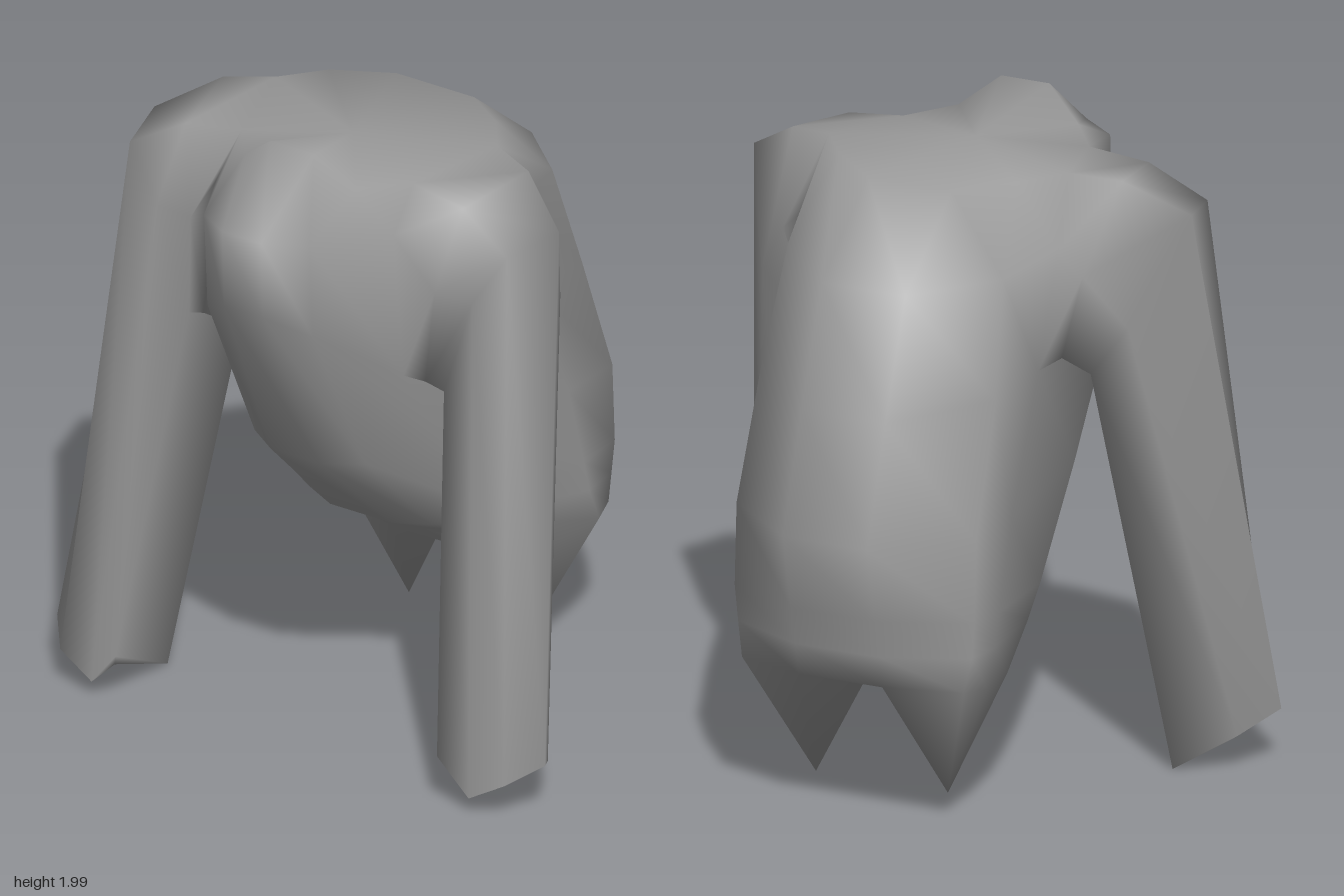
import * as THREE from 'three';

const N = 12; // points in one torso ring

// Torso ring leaning from a front point to a back point; half-widths and drops run front to back
function torsoRing([zf, yf], [zb, yb], widths, drops = [0, 0, 0, 0, 0, 0]) {
  const depth = [0, 0.06, 0.25, 0.66, 0.84, 1];
  const half = widths.map((w, i) => [w, yf + (yb - yf) * depth[i] - drops[i], zf + (zb - zf) * depth[i]]);
  return [...half, ...half.map(([x, y, z]) => [-x, y, z]).reverse()];
}

export function createModel() {
  const points = [], index = [];
  const add = (ring) => ring.map((p) => points.push(p) - 1);

  // skin between two loops of point numbers, leaving out the listed columns
  const bridge = (lower, upper, skip = []) => lower.forEach((a, i) => {
    if (skip.includes(i)) return;
    const j = (i + 1) % lower.length;
    index.push(a, lower[j], upper[i], lower[j], upper[j], upper[i]);
  });

  // close a loop with a fan to one point
  const cap = (loop, tip, facesUp) => {
    const [c] = add([tip]);
    loop.forEach((a, i) => {
      const b = loop[(i + 1) % loop.length];
      index.push(...(facesUp ? [a, b, c] : [b, a, c]));
    });
  };

  // hunched torso with the head bulging forward, open at the shoulders
  const torso = [
    torsoRing([-0.17, 0.43], [-0.68, 0.48], [0.11, 0.24, 0.36, 0.4, 0.37, 0.14]),
    torsoRing([0.02, 0.57], [-0.7, 0.58], [0.11, 0.22, 0.36, 0.4, 0.39, 0.14]),
    torsoRing([0.16, 0.64], [-0.73, 0.7], [0.11, 0.22, 0.35, 0.4, 0.4, 0.14]),
    torsoRing([0.5, 0.97], [-0.78, 0.94], [0.09, 0.2, 0.34, 0.4, 0.4, 0.14]),
    torsoRing([0.77, 1.56], [-0.66, 1.3], [0.07, 0.19, 0.33, 0.4, 0.39, 0.14], [0, 0.05, 0.2, 0.03, 0, 0]),
    torsoRing([0.78, 1.81], [-0.53, 1.66], [0.07, 0.19, 0.32, 0.42, 0.36, 0.14]),
    torsoRing([0.52, 2.0], [-0.23, 1.9], [0.08, 0.2, 0.31, 0.4, 0.3, 0.14], [0, 0.09, 0.08, 0.015, 0, 0]),
  ].map(add);
  for (let r = 0; r < 6; r++) bridge(torso[r], torso[r + 1], r >= 4 ? [2, 8] : []);
  cap(torso[6], [0, 1.92, 0.2], true);

  // pointed leg stumps with the crotch between them
  const hips = torso[0];
  cap(hips.slice(0, 6), [0.22, 0.08, -0.41], false);
  cap(hips.slice(6), [-0.22, 0.08, -0.41], false);
  cap([hips[0], hips[5], hips[6], hips[11]], [0, 0.45, -0.42], false);

  // hanging arm: wrist, upper arm, shoulder; it ends on the torso's open edge
  const arm = [
    [[0.58, 0.18, 0.6], [0.68, 0.06, 0.58], [0.8, 0.13, 0.57], [0.88, 0.18, 0.47], [0.8, 0.12, 0.34], [0.62, 0.01, 0.27]],
    [[0.46, 1.27, 0.39], [0.57, 1.6, 0.4], [0.68, 1.77, 0.38], [0.73, 1.79, 0.18], [0.61, 1.47, 0], [0.46, 1.29, 0.05]],
    [[0.4, 1.29, 0.4], [0.44, 1.6, 0.41], [0.5, 1.87, 0.35], [0.55, 1.9, 0.08], [0.5, 1.64, -0.08], [0.41, 1.36, -0.04]],
  ];
  const socket = [[4, 2], [5, 2], [6, 2], [6, 3], [5, 3], [4, 3]];
  for (const side of [1, -1]) {
    const loops = arm.map((ring) => add(ring.map(([x, y, z]) => [side * x, y, z])));
    loops.push(socket.map(([r, c]) => torso[r][side > 0 ? c : N - 1 - c]));
    if (side < 0) loops.forEach((loop) => loop.reverse());
    for (let r = 0; r < 3; r++) bridge(loops[r], loops[r + 1]);
    cap(loops[0], [side * 0.7, 0.05, 0.43], false);
  }

  const geometry = new THREE.BufferGeometry();
  geometry.setAttribute('position', new THREE.Float32BufferAttribute(points.flat(), 3));
  geometry.setIndex(index);
  geometry.computeVertexNormals();
  const body = new THREE.Mesh(geometry, new THREE.MeshStandardMaterial({ color: 0x9a9a9a }));
  body.name = 'body';
  const group = new THREE.Group();
  group.add(body);
  return group;
}
